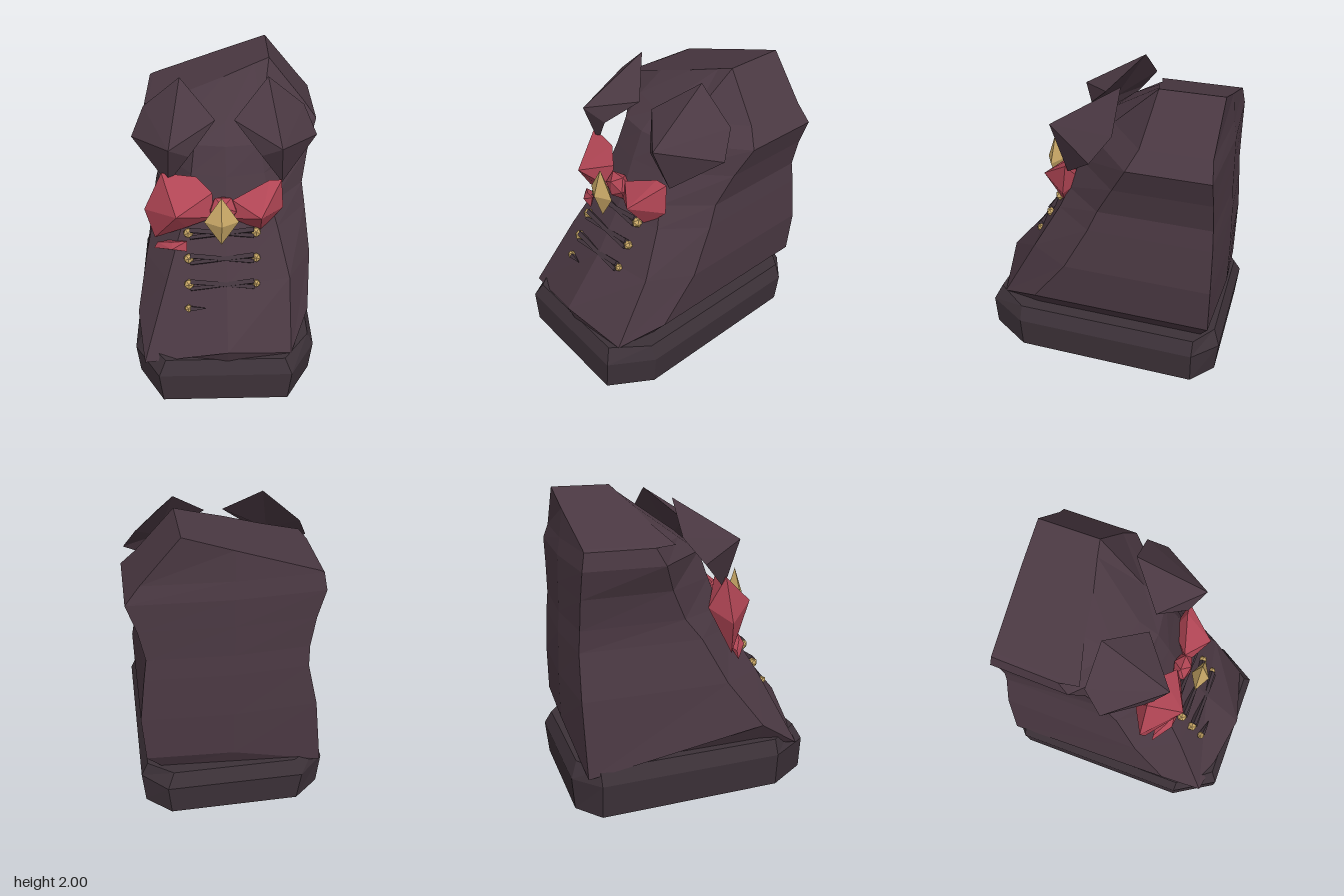
import * as THREE from 'three';

const mat = (color) => new THREE.MeshStandardMaterial({ color, flatShading: true, side: THREE.DoubleSide });
const CLOTH = mat(0x4a3842), BASE = mat(0x3c3138), RED = mat(0xb04554), GOLD = mat(0xc8a766), LACE = mat(0x40333b);

function mesh(name, geometry, material, parent) {
  const m = new THREE.Mesh(geometry, material);
  m.name = name;
  parent.add(m);
  return m;
}

// Skins closed rings (counter-clockwise from above), with a cap at each end.
function loft(rings) {
  const n = rings[0].length, pos = rings.flat(2), idx = [];
  for (let i = 0; i < rings.length - 1; i++) {
    for (let j = 0; j < n; j++) {
      const k = (j + 1) % n, a = i * n, b = a + n;
      idx.push(a + j, a + k, b + k, a + j, b + k, b + j);
    }
  }
  [0, rings.length - 1].forEach((r) => {
    const c = pos.length / 3;
    for (let a = 0; a < 3; a++) pos.push(rings[r].reduce((s, p) => s + p[a], 0) / n);
    for (let j = 0; j < n; j++) {
      const p = r * n + j, q = r * n + (j + 1) % n;
      idx.push(c, r ? p : q, r ? q : p);
    }
  });
  return faceted(pos, idx);
}

// Closed fan of faces from a front hub to a rim and on to a back hub.
function fan(hub, rim, back) {
  const pos = [hub, ...rim, back].flat(), idx = [], n = rim.length;
  for (let j = 0; j < n; j++) {
    const a = 1 + j, b = 1 + (j + 1) % n;
    idx.push(0, a, b, n + 1, b, a);
  }
  return faceted(pos, idx);
}

function faceted(pos, idx) {
  const g = new THREE.BufferGeometry();
  g.setAttribute('position', new THREE.Float32BufferAttribute(pos, 3));
  g.setIndex(idx);
  const flat = g.toNonIndexed();
  flat.computeVertexNormals();
  return flat;
}

// Tapered bar between two points.
function bar(name, a, b, r0, r1, material, parent) {
  const p = new THREE.Vector3(...a), q = new THREE.Vector3(...b), d = q.clone().sub(p);
  const m = mesh(name, new THREE.CylinderGeometry(r1, r0, d.length(), 4), material, parent);
  m.position.copy(p).add(q).multiplyScalar(0.5);
  m.quaternion.setFromUnitVectors(new THREE.Vector3(0, 1, 0), d.normalize());
}

function createModel() {
  const model = new THREE.Group();

  // Base slab: chamfered octagon with a bevelled top
  const slab = (y, e, front) => [
    [0.43 - e, front], [0.605 - e, 0.56], [0.605 - e, -0.68], [0.44 - e, -0.84 + e],
    [-0.46 + e, -0.84 + e], [-0.635 + e, -0.68], [-0.635 + e, 0.56], [-0.46 + e, front],
  ].map(([x, z]) => [x, y, z]);
  mesh('base', loft([slab(0, 0.02, 0.84), slab(0.23, 0, 0.84), slab(0.33, 0.045, 0.79)]), BASE, model);

  // Body: y, right-hand x, left-hand x, front z, side crease z, back z, front corner share, corner set-back
  const levels = [
    [0.30, -0.52, 0.45, 0.79, 0.47, -0.73, 0.92, 0.10],
    [0.46, -0.61, 0.565, 0.84, 0.45, -0.80, 0.88, 0.11],
    [0.78, -0.55, 0.585, 0.56, 0.21, -0.80, 0.72, 0.07],
    [1.08, -0.48, 0.55, 0.38, 0.05, -0.79, 0.62, 0.06],
    [1.22, -0.48, 0.53, 0.32, -0.01, -0.78, 0.56, 0.06],
    [1.42, -0.51, 0.57, 0.24, -0.12, -0.775, 0.44, 0.05],
    [1.60, -0.56, 0.63, 0.16, -0.22, -0.77, 0.36, 0.03],
    [1.71, -0.54, 0.54, 0.03, -0.28, -0.75, 0.45, 0.06],
  ];
  const rings = levels.map(([y, l, r, f, c, b, s, d]) => [
    [0, f], [r * s, f - d], [r, c], [r, b + 0.03],
    [0, b], [l * 0.98, b + 0.03], [l, c], [l * s, f - d],
  ].map(([x, z]) => [x, y, z]));
  // Hem corners droop over the base, leaving a shallow arch at the front
  rings[0][7] = [-0.47, 0.24, 0.70];
  rings[1][0][1] = 0.44;
  rings[1][1] = [0.43, 0.33, 0.74];
  rings[1][5] = [-0.60, 0.28, -0.76];
  rings[1][7] = [-0.56, 0.26, 0.74];
  // Right-hand side tucks in behind the bow
  rings[4][6] = [-0.46, 1.22, -0.06];
  rings[5][6] = [-0.48, 1.42, -0.15];
  // Slanted top, high on one side
  rings.push([
    [0, -0.26], [0.2, -0.31], [0.30, -0.33], [0.30, -0.73],
    [0, -0.73], [-0.5, -0.72], [-0.52, -0.15], [-0.25, -0.22],
  ].map(([x, z]) => [x, 1.895 + 0.34 * x, z]));
  mesh('body', loft(rings), CLOTH, model);

  // Collar flaps: wedges with a raised front tip
  for (const s of [1, -1]) {
    const place = ([x, y, z]) => [s * x - 0.005, y, z];
    const rim = [
      [0.61, 1.60, 0.01], [0.53, 1.76, -0.11], [0.285, 1.97, -0.09],
      [0.06, 1.77, 0.12], [0.23, 1.60, 0.28], [0.37, 1.38, 0.24],
    ].map(place);
    if (s < 0) rim.reverse();
    mesh(s > 0 ? 'leftCollar' : 'rightCollar',
      fan(place([0.35, 1.69, 0.36]), rim, place([0.37, 1.6, 0.15])), CLOTH, model);
  }

  // Bow: two faceted wings, a knot and a small tail
  const bow = new THREE.Group();
  bow.name = 'bow';
  model.add(bow);
  mesh('largeWing', fan([-0.32, 1.26, 0.46], [
    [-0.09, 1.36, 0.33], [-0.19, 1.44, 0.26], [-0.415, 1.46, 0.24], [-0.54, 1.18, 0.24],
    [-0.48, 0.96, 0.26], [-0.26, 1.10, 0.34], [-0.08, 1.19, 0.36],
  ], [-0.36, 1.25, 0.14]), RED, bow);
  mesh('smallWing', fan([0.22, 1.25, 0.47], [
    [0.36, 1.41, 0.26], [0.28, 1.415, 0.27], [0.04, 1.31, 0.34], [0.04, 1.18, 0.36],
    [0.23, 1.05, 0.32], [0.375, 1.21, 0.28],
  ], [0.22, 1.24, 0.2]), RED, bow);
  const knot = mesh('knot', new THREE.IcosahedronGeometry(1, 0), RED, bow);
  knot.scale.set(0.1, 0.1, 0.07);
  knot.position.set(-0.02, 1.25, 0.35);
  mesh('tail', fan([-0.36, 0.97, 0.41], [
    [-0.26, 1.03, 0.40], [-0.36, 1.00, 0.37], [-0.46, 0.96, 0.31], [-0.485, 0.91, 0.31], [-0.26, 0.96, 0.42],
  ], [-0.36, 0.97, 0.3]), RED, bow);

  // Diamond pin in front of the knot
  const pin = mesh('diamondPin', new THREE.OctahedronGeometry(1, 0), GOLD, model);
  pin.scale.set(0.11, 0.18, 0.06);
  pin.position.set(-0.033, 1.24, 0.48);

  // Lacing: studs joined by crossing laces
  const lacing = new THREE.Group();
  lacing.name = 'lacing';
  model.add(lacing);
  const stud = (x, y, z, r) => {
    mesh('stud', new THREE.IcosahedronGeometry(r, 0), GOLD, lacing).position.set(x, y, z);
  };
  [[1.075, 0.37], [0.925, 0.45], [0.775, 0.535]].forEach(([y, z], i) => {
    stud(-0.25, y, z, 0.036);
    stud(0.195, y, z, 0.036 - 0.004 * i);
    bar('lace', [-0.24, y + 0.025, z + 0.005], [0.18, y - 0.015, z + 0.02], 0.022, 0.018, LACE, lacing);
    bar('lace', [-0.24, y - 0.025, z + 0.02], [0.18, y + 0.025, z + 0.005], 0.016, 0.022, LACE, lacing);
  });
  stud(-0.255, 0.635, 0.615, 0.028);
  bar('laceEnd', [-0.24, 0.635, 0.62], [-0.14, 0.65, 0.635], 0.022, 0.003, LACE, lacing);

  return model;
}

export { createModel };
